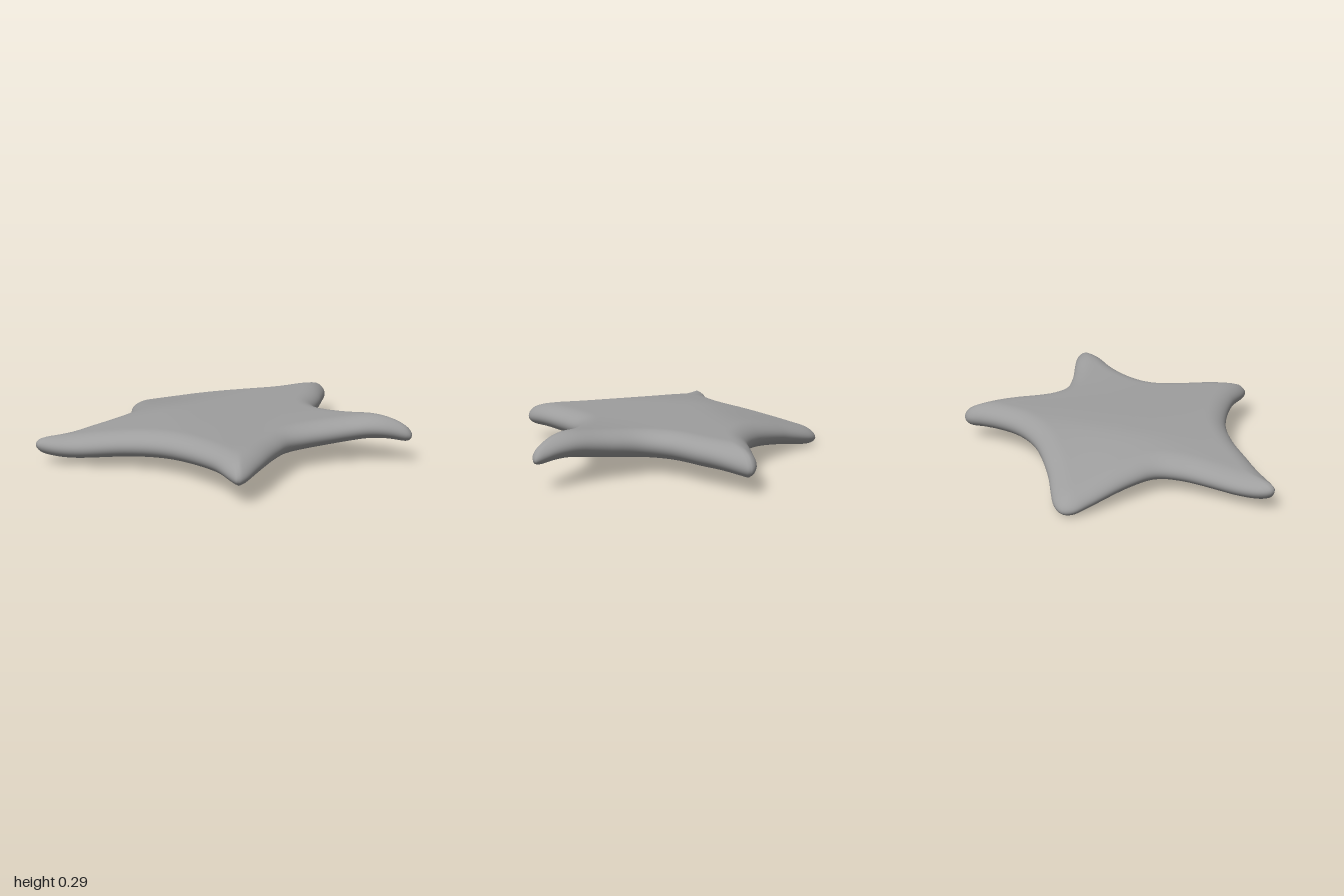
import * as THREE from 'three';

// Star outline seen from above, as x, z pairs
const OUTLINE = [
  [-0.88, 0], [-0.85, -0.06], [-0.62, -0.22], [-0.4, -0.42], [-0.285, -0.62], [-0.25, -0.85],
  [-0.235, -0.96], [-0.2, -1], [-0.15, -0.97], [0.02, -0.79], [0.17, -0.605], [0.28, -0.56],
  [0.45, -0.59], [0.7, -0.685], [0.81, -0.725], [0.865, -0.733], [0.877, -0.7], [0.82, -0.6],
  [0.68, -0.4], [0.6, -0.2], [0.59, -0.08], [0.64, 0.05], [0.76, 0.27], [0.82, 0.41],
  [0.815, 0.46], [0.76, 0.47], [0.58, 0.46], [0.38, 0.485], [0.2, 0.54], [0.04, 0.64],
  [-0.12, 0.79], [-0.32, 0.975], [-0.37, 1], [-0.4, 0.95], [-0.4, 0.7], [-0.405, 0.48],
  [-0.44, 0.36], [-0.55, 0.265], [-0.78, 0.12], [-0.86, 0.06],
];

// Each arm: tip position, rise along the arm and how late it sets in,
// extra bend at the tip, loss of half thickness towards the tip
const ARMS = [
  { x: -0.88, z: 0, lift: -0.125, power: 1.2, bend: 0, slim: 0.026 },
  { x: -0.2, z: -1, lift: 0, power: 1, bend: -0.03, slim: 0.002 },
  { x: 0.87, z: -0.72, lift: 0.1, power: 2, bend: -0.09, slim: 0.012 },
  { x: 0.81, z: 0.45, lift: 0.01, power: 1, bend: -0.025, slim: 0.014 },
  { x: -0.37, z: 1, lift: -0.088, power: 1.2, bend: 0.045, slim: 0.014 },
];

const SEGMENTS = 320, RINGS = 28, RIM = 0.115;

// Height of the middle layer and the half thickness before rim rounding
function armShape(x, z) {
  let mid = 0.172, half = 0.084;
  for (const a of ARMS) {
    const length2 = a.x * a.x + a.z * a.z;
    const along = (x * a.x + z * a.z) / length2;
    const across = (x * a.z - z * a.x) / length2;
    const t = (along - 0.25 + Math.hypot(along - 0.25, 0.1)) / 1.5; // soft ramp
    mid += a.lift * t ** a.power * Math.exp(-3 * across * across);
    mid += a.bend * Math.max(0, (along - 0.75) / 0.25) ** 2;
    half -= a.slim * t;
  }
  return { mid, half };
}

// Shortest distance from a point to the outline
function edgeDistance(x, z, loop) {
  let best = Infinity;
  for (let i = 0; i < loop.length; i++) {
    const a = loop[i], b = loop[(i + 1) % loop.length];
    const dx = b.x - a.x, dz = b.z - a.z;
    const k = THREE.MathUtils.clamp(((x - a.x) * dx + (z - a.z) * dz) / (dx * dx + dz * dz), 0, 1);
    best = Math.min(best, Math.hypot(x - a.x - k * dx, z - a.z - k * dz));
  }
  return best;
}

function starGeometry() {
  const curve = new THREE.CatmullRomCurve3(
    OUTLINE.map(([x, z]) => new THREE.Vector3(x, 0, z)), true, 'centripetal');
  const loop = curve.getSpacedPoints(SEGMENTS).slice(0, SEGMENTS);
  const positions = [], index = [];

  const addPoint = (x, z, side) => {
    const { mid, half } = armShape(x, z);
    const t = side === 0 ? 0 : Math.min(1, edgeDistance(x, z, loop) / RIM);
    positions.push(x, mid + side * half * Math.sqrt(1 - (1 - t) ** 2), z);
  };

  // Rings run from the top centre over the rim to the bottom centre
  addPoint(0, 0, 1);
  for (let r = 1; r < RINGS * 2; r++) {
    const u = 1 - Math.abs(r / RINGS - 1);
    const s = 1 - (1 - u) ** 2;
    for (const p of loop) addPoint(p.x * s, p.z * s, Math.sign(RINGS - r));
  }
  addPoint(0, 0, -1);

  const id = (r, i) => 1 + (r - 1) * SEGMENTS + (i % SEGMENTS);
  const lastRing = RINGS * 2 - 1, bottom = 1 + lastRing * SEGMENTS;
  for (let i = 0; i < SEGMENTS; i++) {
    index.push(0, id(1, i + 1), id(1, i));
    for (let r = 1; r < lastRing; r++) {
      const a = id(r, i), b = id(r, i + 1), c = id(r + 1, i + 1), d = id(r + 1, i);
      index.push(a, b, c, a, c, d);
    }
    index.push(bottom, id(lastRing, i), id(lastRing, i + 1));
  }

  const geometry = new THREE.BufferGeometry();
  geometry.setAttribute('position', new THREE.Float32BufferAttribute(positions, 3));
  geometry.setIndex(index);
  geometry.computeBoundingBox();
  geometry.translate(0, -geometry.boundingBox.min.y, 0); // rest on the ground
  geometry.computeVertexNormals();
  return geometry;
}

export function createModel() {
  const group = new THREE.Group();
  group.name = 'starfish';
  const body = new THREE.Mesh(starGeometry(), new THREE.MeshStandardMaterial({ color: 0x9e9e9e }));
  body.name = 'starBody';
  group.add(body);
  return group;
}
